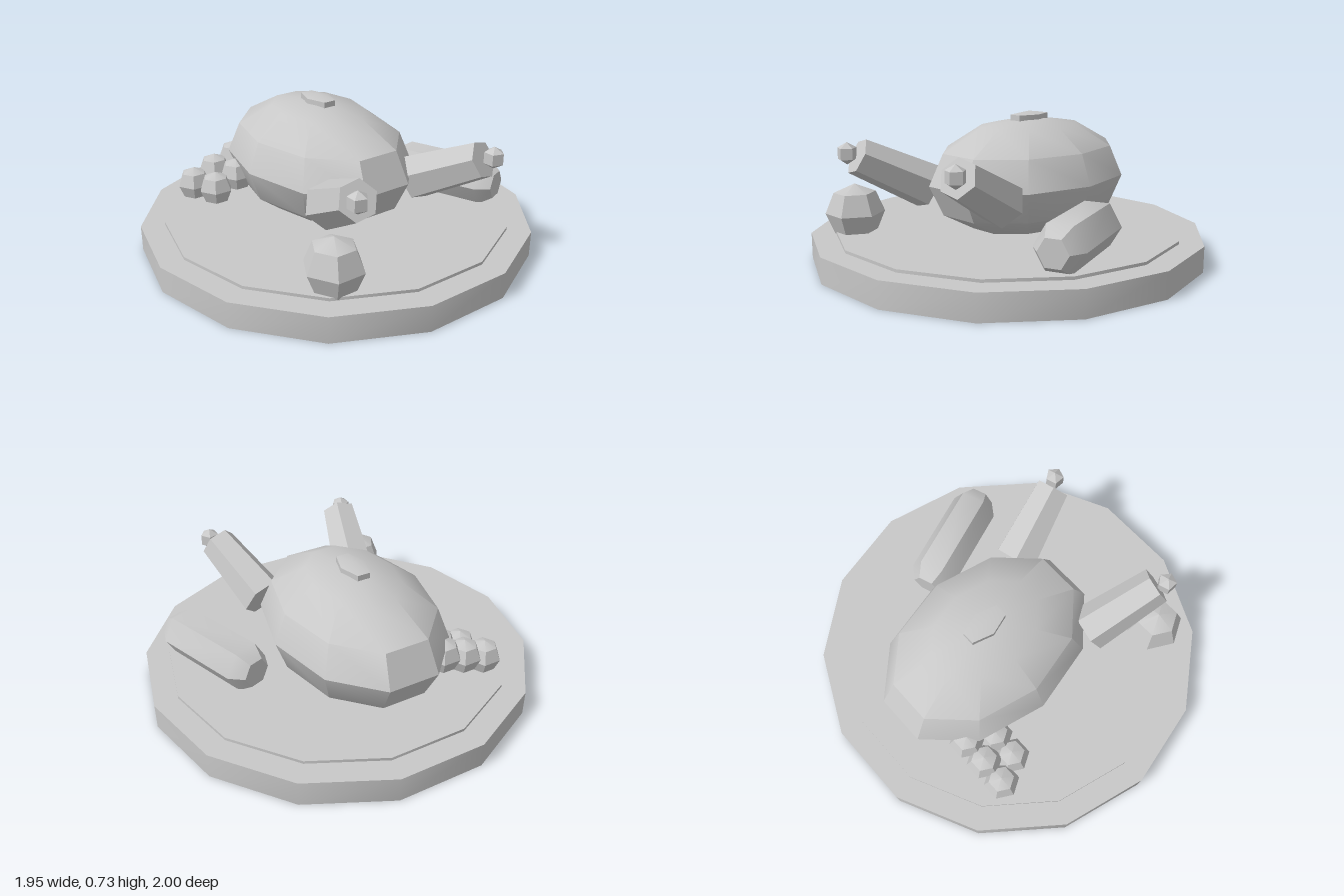
import * as THREE from 'three';
import { toCreasedNormals } from 'three/addons/utils/BufferGeometryUtils.js';

const CREASE = THREE.MathUtils.degToRad(35);

export function createModel() {
  const model = new THREE.Group();
  model.name = 'roastOnPlatter';
  const clay = new THREE.MeshStandardMaterial({ color: 0xc8c8c8 });
  clay.name = 'light grey';

  const add = (name, geometry, x, y, z) => {
    const mesh = new THREE.Mesh(toCreasedNormals(geometry, CREASE), clay);
    mesh.name = name;
    mesh.position.set(x, y, z);
    model.add(mesh);
    return mesh;
  };

  // Coarse ball whose vertices point along z
  const ball = (rx, ry, rz, sides, rows) =>
    new THREE.SphereGeometry(1, sides, rows).rotateY(-Math.PI / 2).scale(rx, ry, rz);

  // Platter with a slightly raised inner disc
  add('platter', new THREE.CylinderGeometry(1, 1, 0.13, 14), 0, 0.065, 0);
  add('platterInset', new THREE.CylinderGeometry(0.88, 0.88, 0.02, 14), 0, 0.135, 0);

  // Roast body and the small cap on top
  add('body', ball(0.594, 0.31, 0.42, 10, 6), -0.155, 0.39, 0);
  add('topCap', ball(0.139, 0.03, 0.075, 6, 3), -0.155, 0.698, 0);

  // Legs with bone knobs, mirrored across z
  const up = new THREE.Vector3(0, 1, 0);
  for (const side of [-1, 1]) {
    const start = new THREE.Vector3(0.3, 0.355, 0.272 * side);
    const end = new THREE.Vector3(0.655, 0.54, 0.375 * side);
    const axis = end.clone().sub(start);
    const mid = start.clone().add(end).multiplyScalar(0.5);
    const name = side > 0 ? 'front' : 'back';
    const leg = add(name + 'Leg', new THREE.CylinderGeometry(0.095, 0.12, axis.length(), 6),
      mid.x, mid.y, mid.z);
    leg.quaternion.setFromUnitVectors(up, axis.normalize());
    add(name + 'Bone', ball(0.055, 0.055, 0.055, 5, 3), 0.693, 0.555, 0.405 * side);
  }

  // Six-sided root vegetable with tapered ends
  const profile = [[0, -0.305], [0.075, -0.305], [0.125, -0.233], [0.125, 0.233], [0.075, 0.305], [0, 0.305]]
    .map(([r, y]) => new THREE.Vector2(r, y));
  const root = add('rootVegetable', new THREE.LatheGeometry(profile, 6).rotateZ(-Math.PI / 2),
    0.155, 0.24, -0.62);
  root.rotation.y = THREE.MathUtils.degToRad(20);

  // Round vegetable
  add('roundVegetable', ball(0.15, 0.147, 0.143, 6, 4), 0.615, 0.238, 0.47);

  // Berry cluster rising toward the body
  const berries = [[-0.54, 0, 0.535], [-0.54, 1, 0.41], [-0.54, 2, 0.285], [-0.415, 0, 0.475], [-0.415, 1, 0.35]];
  for (const [x, level, z] of berries) {
    add('berry', ball(0.09, 0.09, 0.09, 6, 4), x, 0.235 + level * 0.047, z);
  }
  return model;
}
